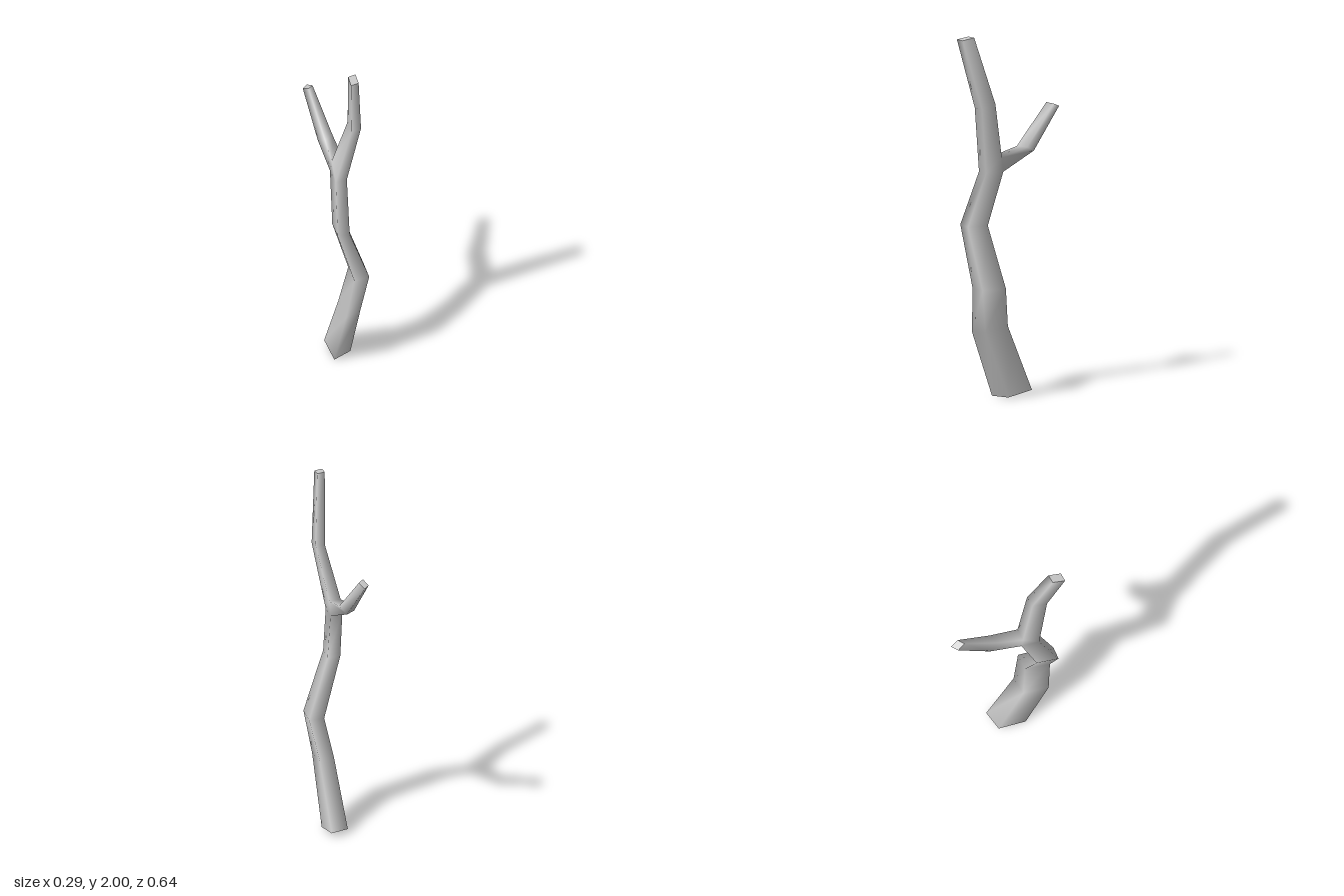
import * as THREE from 'three';

// Corners of each four-sided section run front-left, front-right, back-right, back-left.
const lowerTrunk = [
  [[-0.03, 0, 0.095], [0.067, 0.005, 0.035], [0.032, 0.03, -0.112], [-0.063, 0.025, -0.055]],
  [[0.015, 0.37, 0.225], [0.1, 0.38, 0.178], [0.078, 0.4, 0.042], [-0.007, 0.385, 0.085]],
  [[0.058, 0.62, 0.237], [0.143, 0.62, 0.21], [0.13, 0.62, 0.072], [0.045, 0.615, 0.1]],
  [[-0.038, 0.955, 0.273], [0.03, 0.95, 0.253], [0.022, 0.95, 0.137], [-0.05, 0.955, 0.153]],
];
const forkFront = [[-0.033, 1.24, 0.168], [0.03, 1.24, 0.15]];
const forkBackLow = [[0.018, 1.24, 0.047], [-0.05, 1.25, 0.07]];
const forkBackHigh = [[0.022, 1.32, 0.057], [-0.042, 1.32, 0.08]];
const upperTrunk = [
  [[0.046, 1.61, 0.22], [0.1, 1.61, 0.198], [0.089, 1.63, 0.117], [0.036, 1.62, 0.139]],
  [[0.028, 1.99, 0.316], [0.072, 1.99, 0.298], [0.065, 2, 0.23], [0.022, 2, 0.248]],
];
// Branch sections run back, left, top, right.
const branch = [
  [[-0.045, 1.33, -0.15], [-0.09, 1.33, -0.105], [-0.057, 1.36, -0.057], [-0.01, 1.36, -0.1]],
  [[-0.119, 1.55, -0.321], [-0.145, 1.553, -0.284], [-0.119, 1.576, -0.248], [-0.092, 1.57, -0.282]],
];

function build(points, index, material, name) {
  const geometry = new THREE.BufferGeometry();
  geometry.setAttribute('position', new THREE.Float32BufferAttribute(points.flat(), 3));
  geometry.setIndex(index);
  geometry.computeVertexNormals();
  const mesh = new THREE.Mesh(geometry, material);
  mesh.name = name;
  return mesh;
}

export function createModel() {
  const group = new THREE.Group();
  group.name = 'forkedBranch';
  const wood = new THREE.MeshStandardMaterial({ color: 0xcccccc });
  wood.name = 'pale grey wood';

  // Smooth bark: shared corners joined section by section
  const points = [], index = [];
  const id = (p) => {
    if (!points.includes(p)) points.push(p);
    return points.indexOf(p);
  };
  const face = (a, b, c) => index.push(id(a), id(b), id(c));
  const skin = (rings) => {
    for (let r = 0; r + 1 < rings.length; r++) {
      const [a, b] = [rings[r], rings[r + 1]];
      for (let i = 0; i < 4; i++) {
        const j = (i + 1) % 4;
        face(a[i], a[j], b[j]);
        face(a[i], b[j], b[i]);
      }
    }
  };
  skin([...lowerTrunk, [...forkFront, ...forkBackLow]]);
  skin([[...forkFront, ...forkBackHigh], ...upperTrunk]);
  skin([[...forkBackLow, forkBackHigh[1], forkBackHigh[0]], ...branch]);
  // Wedges on both sides of the fork
  face(forkFront[1], forkBackLow[0], forkBackHigh[0]);
  face(forkFront[0], forkBackHigh[1], forkBackLow[1]);
  group.add(build(points, index, wood, 'bark'));

  // Flat cut ends
  group.add(build(lowerTrunk[0], [0, 2, 1, 0, 3, 2], wood, 'baseCut'));
  group.add(build(upperTrunk[1], [0, 1, 2, 0, 2, 3], wood, 'trunkTopCut'));
  group.add(build(branch[1], [0, 1, 2, 0, 2, 3], wood, 'branchTipCut'));
  return group;
}
